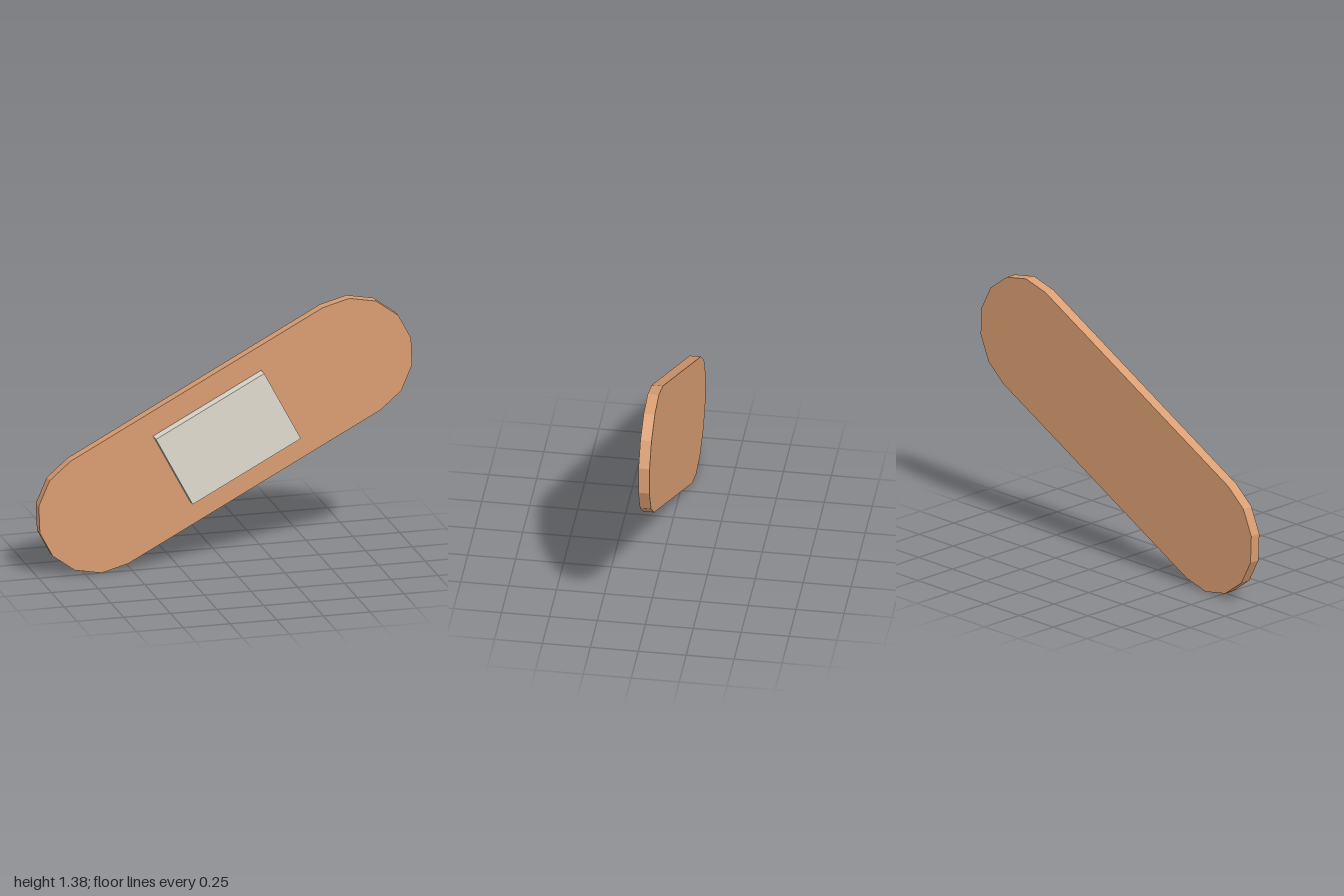
import * as THREE from 'three';

const TILT = THREE.MathUtils.degToRad(28);
const THICK = 0.058;

export function createModel() {
  const strapMaterial = new THREE.MeshStandardMaterial({ color: 0xd99d72 });
  strapMaterial.name = 'tan fabric';
  const padMaterial = new THREE.MeshStandardMaterial({ color: 0xe0dbce });
  padMaterial.name = 'off-white gauze';

  const bandage = new THREE.Group();
  bandage.name = 'bandage';
  bandage.position.y = 0.69;
  bandage.rotation.z = TILT;

  // Strap: two faceted half-round ends joined by straight edges
  const radius = 0.329, halfSpan = 0.765, segments = 7;
  const outline = [];
  for (const end of [0, 1]) {
    for (let i = 0; i <= segments; i++) {
      const a = -Math.PI / 2 + Math.PI * (end + i / segments);
      const cx = end ? -halfSpan : halfSpan;
      outline.push(new THREE.Vector2(cx + radius * Math.cos(a), radius * Math.sin(a)));
    }
  }
  const strap = new THREE.Mesh(
    new THREE.ExtrudeGeometry(new THREE.Shape(outline), { depth: THICK, bevelEnabled: false }),
    strapMaterial
  );
  strap.name = 'strap';
  strap.position.z = -THICK;
  bandage.add(strap);

  // Gauze pad on the front of the strap
  const pad = new THREE.Mesh(new THREE.BoxGeometry(0.656, 0.418, THICK), padMaterial);
  pad.name = 'pad';
  pad.position.z = THICK / 2;
  bandage.add(pad);

  const model = new THREE.Group();
  model.name = 'adhesiveBandage';
  model.add(bandage);
  return model;
}
